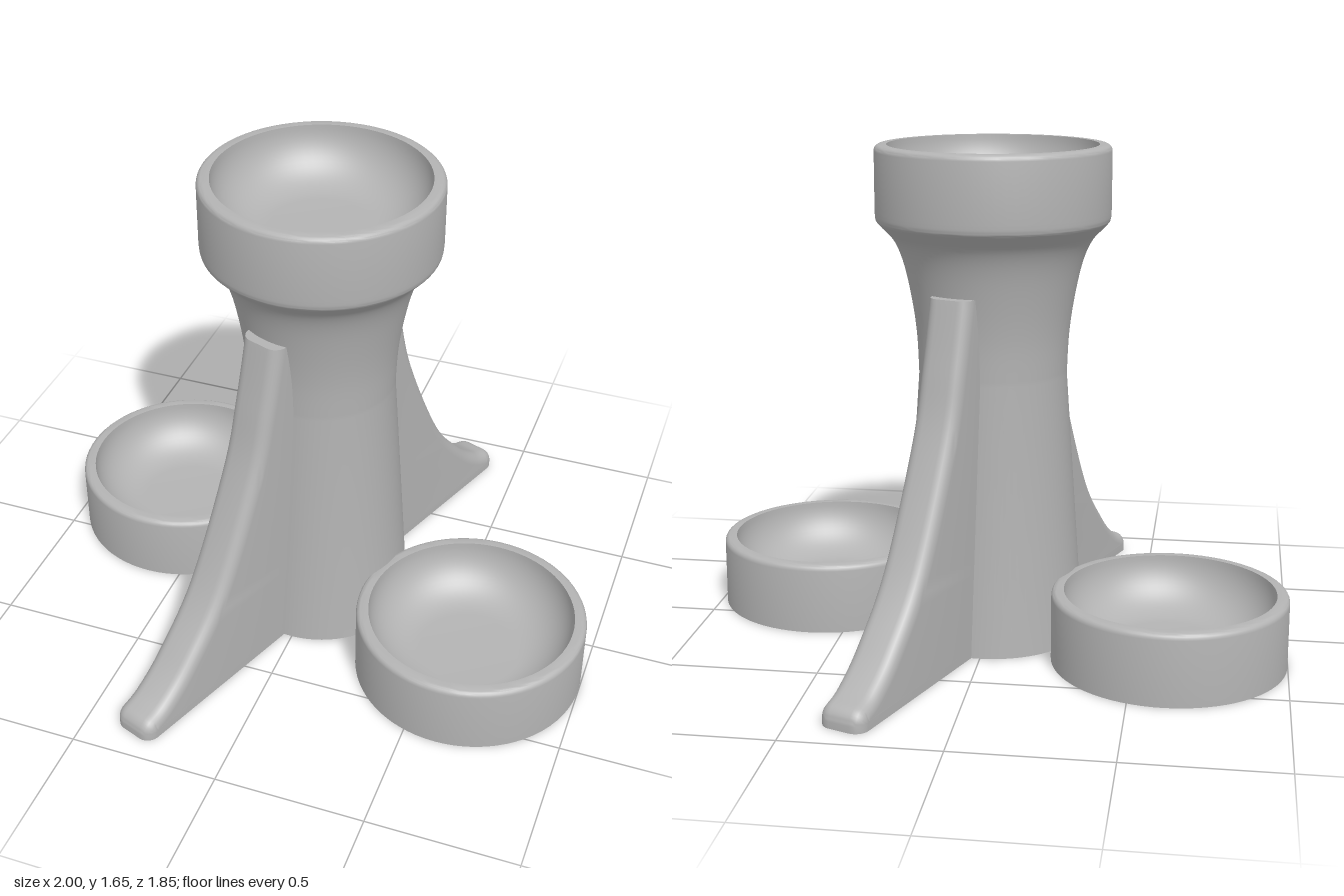
import * as THREE from 'three';
import { toCreasedNormals } from 'three/addons/utils/BufferGeometryUtils.js';

const CUP_R = 0.386, CUP_H = 0.24, TOP = 1.655, TILT = THREE.MathUtils.degToRad(20);
const v2 = (x, y) => new THREE.Vector2(x, y);

// Points on an arc, angles in degrees
function arc(cx, cy, r, from, to, n) {
  return Array.from({ length: n + 1 }, (_, i) => {
    const a = THREE.MathUtils.degToRad(from + (to - from) * i / n);
    return v2(cx + r * Math.cos(a), cy + r * Math.sin(a));
  });
}

// Rounded rim, then the round bowl down to its flat floor
function bowlProfile(top) {
  return [
    ...arc(CUP_R - 0.02, top - 0.02, 0.02, 0, 90, 5),
    ...arc(0.168, top, 0.177, 0, -90, 16),
    v2(0, top - 0.177),
  ];
}

function lathe(profile) {
  return toCreasedNormals(new THREE.LatheGeometry(profile, 72), 0.55);
}

// Curved fin with rounded outer edges, running out along +x
function finGeometry() {
  const half = 0.078, round = 0.042, steps = 6;
  const spline = new THREE.SplineCurve([
    v2(0.307, 1.19), v2(0.357, 0.98), v2(0.425, 0.75), v2(0.6, 0.385),
    v2(0.76, 0.19), v2(0.87, 0.098), v2(0.937, 0.069),
  ]);
  const path = [...spline.getPoints(40), ...arc(0.92, 0.022, 0.05, 62, 0, 6), v2(0.97, 0)];
  const last = path.length - 1, cols = 2 * steps + 4;
  const pos = [], idx = [];

  path.forEach((p, i) => {
    // Inward normal, level at both ends
    const t = path[Math.min(i + 1, last)].clone().sub(path[Math.max(i - 1, 0)]).normalize();
    const n = i === 0 || i >= last - 1 ? v2(-1, 0) : v2(t.y, -t.x);
    const section = (u, d) => pos.push(p.x + n.x * d, p.y + n.y * d, u);
    const y = p.y + n.y * round;
    const inner = y > 0.9 ? 0.225 : 0.285 - 0.06 * y / 0.9;
    pos.push(inner, y, -half);
    for (let s = -1; s <= 1; s += 2) {
      for (let k = 0; k <= steps; k++) {
        const a = (s < 0 ? k : steps - k) / steps * Math.PI / 2;
        section(s * (half - round + round * Math.cos(a)), round * (1 - Math.sin(a)));
      }
    }
    pos.push(inner, y, half);
  });

  for (let i = 0; i < last; i++) {
    for (let j = 0; j < cols - 1; j++) {
      const a = i * cols + j, b = a + cols;
      idx.push(a, a + 1, b, a + 1, b + 1, b);
    }
  }
  // Flat top and underside
  const base = last * cols;
  for (let j = 1; j < cols - 1; j++) {
    idx.push(0, j + 1, j, base, base + j, base + j + 1);
  }
  const geometry = new THREE.BufferGeometry();
  geometry.setAttribute('position', new THREE.Float32BufferAttribute(pos, 3));
  geometry.setIndex(idx);
  return toCreasedNormals(geometry, 0.6);
}

export function createModel() {
  const model = new THREE.Group();
  model.name = 'bowlStand';
  const grey = new THREE.MeshStandardMaterial({ color: 0xb3b3b3 });
  grey.name = 'grey';

  const add = (name, geometry) => {
    const mesh = new THREE.Mesh(geometry, grey);
    mesh.name = name;
    model.add(mesh);
    return mesh;
  };

  // Hollow column flaring into the upper bowl
  const neck = new THREE.SplineCurve([
    v2(0.246, 0.9), v2(0.252, 1.03), v2(0.268, 1.15), v2(0.294, 1.27),
    v2(0.325, 1.345), v2(0.368, 1.393), v2(0.383, 1.412), v2(CUP_R, 1.44),
  ]);
  add('column', lathe([
    v2(0, 1.42), v2(0.205, 1.42), v2(0.205, 0.9), v2(0.264, 0), v2(0.308, 0),
    ...neck.getPoints(36),
    ...bowlProfile(TOP),
  ]));

  // Two low bowls and two fins, opposite each other
  const cup = lathe([v2(0, 0), v2(CUP_R, 0), ...bowlProfile(CUP_H)]);
  const fin = finGeometry();
  [['left', 1], ['right', -1]].forEach(([side, s]) => {
    add(side + 'Bowl', cup).position.set(s * 0.653 * Math.cos(TILT), 0, s * 0.653 * Math.sin(TILT));
  });
  add('frontFin', fin).rotation.y = -Math.PI / 2 - TILT;
  add('backFin', fin).rotation.y = Math.PI / 2 - TILT;
  return model;
}
